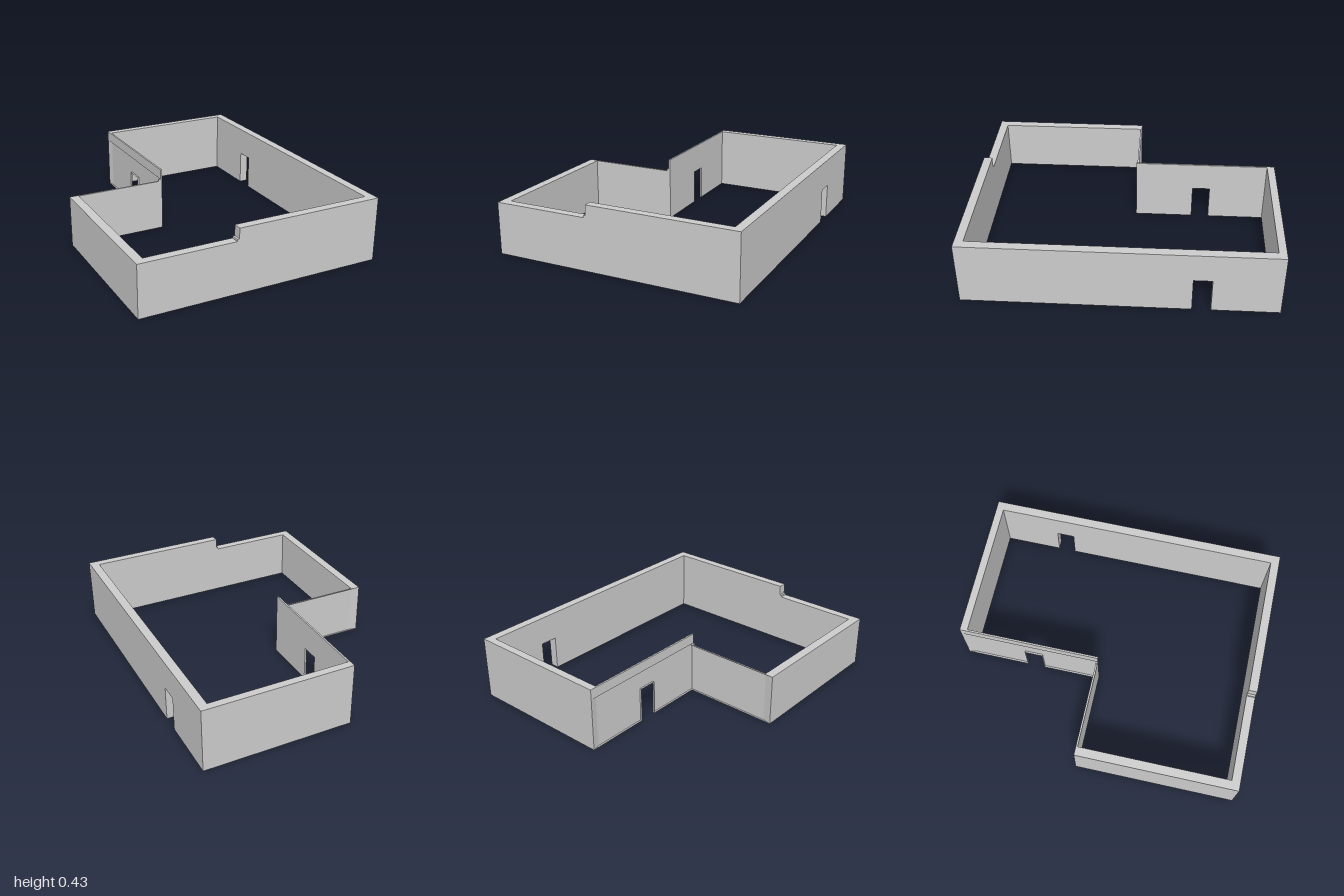
import * as THREE from 'three';

const material = new THREE.MeshStandardMaterial({ color: 0xcccccc, flatShading: true, side: THREE.DoubleSide });

// Plan limits of the L-shaped room
const OUT = 0.817, IN = 0.758;          // outer and inner faces of the side walls
const BACK = -0.95, FRONT = 0.943;      // inner faces of the back and front walls
const NX0 = -0.174, NX1 = -0.162;       // recessed wall with doorway: outer and inner x
const NZ0 = -0.072, NZ1 = -0.06;        // recessed low wall: outer and inner z
const LOW = 0.343, STEP = 0.357, HIGH = 0.425;
const DOOR = { z0: -0.57, z1: -0.452, h: 0.233 };

const polygon = (pts) => new THREE.Shape(pts.map(([x, y]) => new THREE.Vector2(x, y)));
const extrude = (shape, depth) => new THREE.ExtrudeGeometry(shape, { depth, bevelEnabled: false });

// Wall drawn in plan as [x, z] points and raised to a height
const planWall = (pts, height) =>
  extrude(polygon(pts.map(([x, z]) => [x, -z])), height).rotateX(-Math.PI / 2);

// Box given by its limits on each axis
const block = (x0, x1, y0, y1, z0, z1) =>
  new THREE.BoxGeometry(x1 - x0, y1 - y0, z1 - z0).translate((x0 + x1) / 2, (y0 + y1) / 2, (z0 + z1) / 2);

// Side elevation with a doorway, drawn with -z to the right
const doorElevation = (z0, z1, top) => polygon([
  [-z1, 0], [-DOOR.z1, 0], [-DOOR.z1, DOOR.h], [-DOOR.z0, DOOR.h], [-DOOR.z0, 0],
  [-z0, 0], [-z0, top], [-z1, top],
]);

export function createModel() {
  const model = new THREE.Group();
  const add = (name, geometry, parent = model) => {
    const mesh = new THREE.Mesh(geometry, material);
    mesh.name = name;
    parent.add(mesh);
  };
  const group = (name) => {
    const g = new THREE.Group();
    g.name = name;
    model.add(g);
    return g;
  };

  // Thick outer walls; the ends beside the recess are mitred
  add('doorSideWall', extrude(doorElevation(-1, 1, HIGH), OUT - IN).rotateY(Math.PI / 2).translate(IN, 0, 0));
  add('backWall', planWall([[NX0, -1], [IN, -1], [IN, BACK], [NX1, BACK]], HIGH));
  add('lowSideWall', planWall([[-OUT, NZ0], [-IN, NZ1], [-IN, 1], [-OUT, 1]], LOW));
  add('frontWall', extrude(polygon([
    [-IN, 0], [IN, 0], [IN, HIGH], [NX0, HIGH], [NX0, STEP], [-0.188, STEP], [-0.188, LOW], [-IN, LOW],
  ]), 1 - FRONT).translate(0, 0, FRONT));

  // Thin recessed wall with the second doorway, its rims and its upper band
  const t = 0.002;
  const doorWall = group('recessDoorWall');
  add('doorPanel', new THREE.ShapeGeometry(doorElevation(BACK, NZ1, HIGH))
    .rotateY(Math.PI / 2).translate(NX1, 0, 0), doorWall);
  add('upperBand', block(NX0, NX1, STEP, HIGH, -1, NZ1), doorWall);
  for (const [z0, z1] of [[-1, DOOR.z0], [DOOR.z1, NZ1]])
    add('bottomRim', block(NX0, NX1, 0, t, z0, z1), doorWall);
  add('leftJamb', block(NX0, NX1, 0, DOOR.h, DOOR.z1, DOOR.z1 + t), doorWall);
  add('rightJamb', block(NX0, NX1, 0, DOOR.h, DOOR.z0 - t, DOOR.z0), doorWall);
  add('doorHead', block(NX0, NX1, DOOR.h, DOOR.h + t, DOOR.z0, DOOR.z1), doorWall);

  // Thin recessed low wall with top and bottom rims
  const lowWall = group('recessLowWall');
  add('lowPanel', new THREE.PlaneGeometry(NX1 + IN, LOW)
    .translate((NX1 - IN) / 2, LOW / 2, NZ1), lowWall);
  add('topRim', block(-OUT, NX1, LOW - t, LOW, NZ0, NZ1), lowWall);
  add('bottomRim', block(-OUT, NX1, 0, t, NZ0, NZ1), lowWall);
  add('cornerStep', block(-0.188, NX1, LOW, STEP, NZ0, NZ1), lowWall);

  return model;
}
